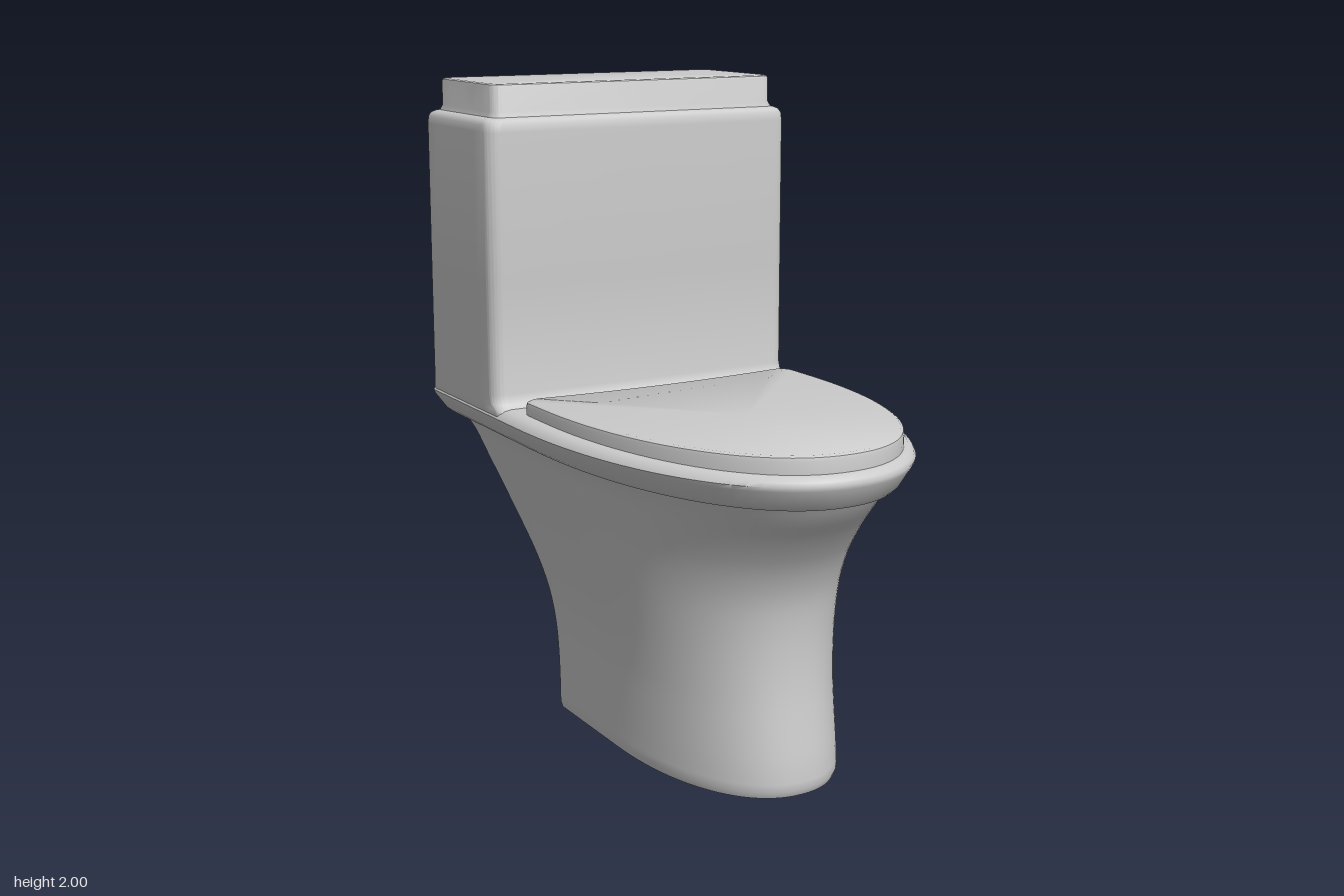
import * as THREE from 'three';
import { toCreasedNormals } from 'three/addons/utils/BufferGeometryUtils.js';

const material = new THREE.MeshStandardMaterial({ color: 0xcccccc });

// Horizontal outline: straight back with rounded corners (r), straight sides up to z = s,
// then an arc of half-width fw and exponent n to the front. bow pushes the back's middle forward.
function outline({ y, hw, zb, zf, s, r, fw = hw, n = 2, bow = 0 }) {
  const half = [];
  const add = (x, z) => half.push([x, z]);
  const backZ = (x) => zb + bow * (1 - (x / hw) ** 2);
  for (let i = 0; i < 8; i++) add(((hw - r) * i) / 8, backZ(((hw - r) * i) / 8));
  for (let i = 0; i <= 6; i++) {
    const a = (i / 6) * Math.PI / 2;
    const x = hw - r + r * Math.sin(a);
    add(x, backZ(x) + r * (1 - Math.cos(a)));
  }
  for (let i = 1; i < 6; i++) add(hw, zb + r + ((s - zb - r) * i) / 6);
  for (let i = 0; i <= 24; i++) {
    const a = (i / 24) * Math.PI / 2;
    add(hw - fw + fw * Math.max(0, Math.cos(a)) ** (2 / n), s + (zf - s) * Math.sin(a) ** (2 / n));
  }
  if (fw < hw) add(0, zf);
  const mirrored = half.slice(1, -1).map(([x, z]) => [-x, z]);
  return [...half.reverse(), ...mirrored].map(([x, z]) => [x, y, z]);
}

// Skin a stack of outlines, bottom to top, and cap both ends
function loft(name, sections, crease = 0.6) {
  const rings = sections.map(outline);
  const count = rings[0].length;
  const pos = rings.flat(2);
  const index = [];
  for (let i = 0; i < rings.length - 1; i++) {
    for (let j = 0; j < count; j++) {
      const k = (j + 1) % count;
      const a = i * count + j, b = i * count + k;
      index.push(a, b, b + count, a, b + count, a + count);
    }
  }
  [0, rings.length - 1].forEach((row, end) => {
    const { y, zb, zf } = sections[row];
    const centre = pos.length / 3;
    pos.push(0, y, (zb + zf) / 2);
    for (let j = 0; j < count; j++) {
      const a = row * count + j, b = row * count + ((j + 1) % count);
      index.push(centre, ...(end ? [a, b] : [b, a]));
    }
  });
  const geometry = new THREE.BufferGeometry();
  geometry.setAttribute('position', new THREE.Float32BufferAttribute(pos, 3));
  geometry.setIndex(index);
  const mesh = new THREE.Mesh(toCreasedNormals(geometry, crease), material);
  mesh.name = name;
  return mesh;
}

// Pedestal: smooth curves through [y, half width, back z, front z]
function pedestal() {
  const rows = [
    [0.03, 0.3, -0.395, 0.59], [0.1, 0.3, -0.396, 0.584], [0.2, 0.301, -0.4, 0.568],
    [0.3, 0.304, -0.412, 0.553], [0.4, 0.313, -0.438, 0.545], [0.5, 0.329, -0.488, 0.546],
    [0.6, 0.35, -0.56, 0.56], [0.7, 0.373, -0.637, 0.6], [0.8, 0.398, -0.71, 0.668],
    [0.88, 0.418, -0.768, 0.735], [0.94, 0.445, -0.82, 0.775],
  ];
  const backCurve = new THREE.CatmullRomCurve3(rows.map(([y, w, b]) => new THREE.Vector3(w, y, b)));
  const frontCurve = new THREE.CatmullRomCurve3(rows.map(([y, , , f]) => new THREE.Vector3(0, y, f)));
  const sections = [
    { y: 0, hw: 0.28, zb: -0.385, zf: 0.55, s: 0, r: 0.025, n: 2.2 },
    { y: 0.01, hw: 0.295, zb: -0.393, zf: 0.58, s: 0, r: 0.025, n: 2.2 },
  ];
  for (let i = 0; i <= 30; i++) {
    const t = i / 30;
    const b = backCurve.getPoint(t), f = frontCurve.getPoint(t);
    const k = THREE.MathUtils.smoothstep(b.y, 0.3, 0.94);
    sections.push({ y: b.y, hw: b.x, zb: b.z, zf: f.z, s: -0.2 * k, r: 0.025 + 0.02 * k, n: 2.2 });
  }
  return loft('pedestal', sections);
}

// Flared rim and rear deck
function rim() {
  const rows = [
    [0.925, 0.44, -0.81, 0.78], [0.927, 0.468, -0.83, 0.797], [0.94, 0.483, -0.837, 0.81],
    [0.99, 0.52, -0.84, 0.838], [1.003, 0.525, -0.84, 0.842], [1.015, 0.518, -0.837, 0.836],
    [1.026, 0.502, -0.825, 0.822], [1.03, 0.485, -0.81, 0.805],
  ];
  return loft('rim', rows.map(([y, hw, zb, zf]) => ({ y, hw, zb, zf, s: -0.2, r: 0.04, n: 2.15 })), 0.8);
}

// Closed seat cover, slightly lower at the back
function seatCover() {
  const rows = [[1.01, 0.472, 0], [1.066, 0.472, 0], [1.076, 0.47, 0.003], [1.081, 0.462, 0.011]];
  const mesh = loft('seatCover', rows.map(([y, hw, d]) => ({
    y, hw, zb: -0.257 + d, zf: 0.808 - d, s: -0.12, r: 0.045, n: 2.15, bow: 0.03,
  })), 0.7);
  const p = mesh.geometry.attributes.position;
  for (let i = 0; i < p.count; i++) {
    if (p.getY(i) > 1.05) p.setY(i, p.getY(i) - 0.009 * (0.8 - p.getZ(i)));
  }
  return mesh;
}

// Rounded box section for the cistern: [y, half width, back z, front z, corner radius]
const boxSection = ([y, hw, zb, zf, r]) => ({ y, hw, zb, zf, s: zf - r, r, fw: r });

function cistern() {
  return loft('cistern', [
    [0.98, 0.51, -0.835, -0.29, 0.045], [1.01, 0.522, -0.84, -0.29, 0.045],
    [1.028, 0.522, -0.84, -0.305, 0.045], [1.04, 0.522, -0.84, -0.328, 0.045],
    [1.07, 0.522, -0.838, -0.338, 0.045], [1.4, 0.522, -0.834, -0.337, 0.045],
    [1.86, 0.522, -0.827, -0.335, 0.045], [1.882, 0.52, -0.826, -0.337, 0.045],
    [1.894, 0.514, -0.82, -0.343, 0.045], [1.9, 0.503, -0.808, -0.353, 0.045],
    [1.904, 0.485, -0.79, -0.368, 0.04],
  ].map(boxSection), 0.8);
}

function cisternLid() {
  return loft('cisternLid', [
    [1.89, 0.495, -0.795, -0.36, 0.04], [1.905, 0.492, -0.792, -0.362, 0.04],
    [1.918, 0.486, -0.783, -0.37, 0.035], [1.99, 0.486, -0.782, -0.37, 0.035],
    [1.997, 0.484, -0.78, -0.373, 0.035], [2.0, 0.477, -0.773, -0.38, 0.033],
  ].map(boxSection), 0.7);
}

export function createModel() {
  const group = new THREE.Group();
  group.name = 'toilet';
  group.add(pedestal(), rim(), seatCover(), cistern(), cisternLid());
  return group;
}
